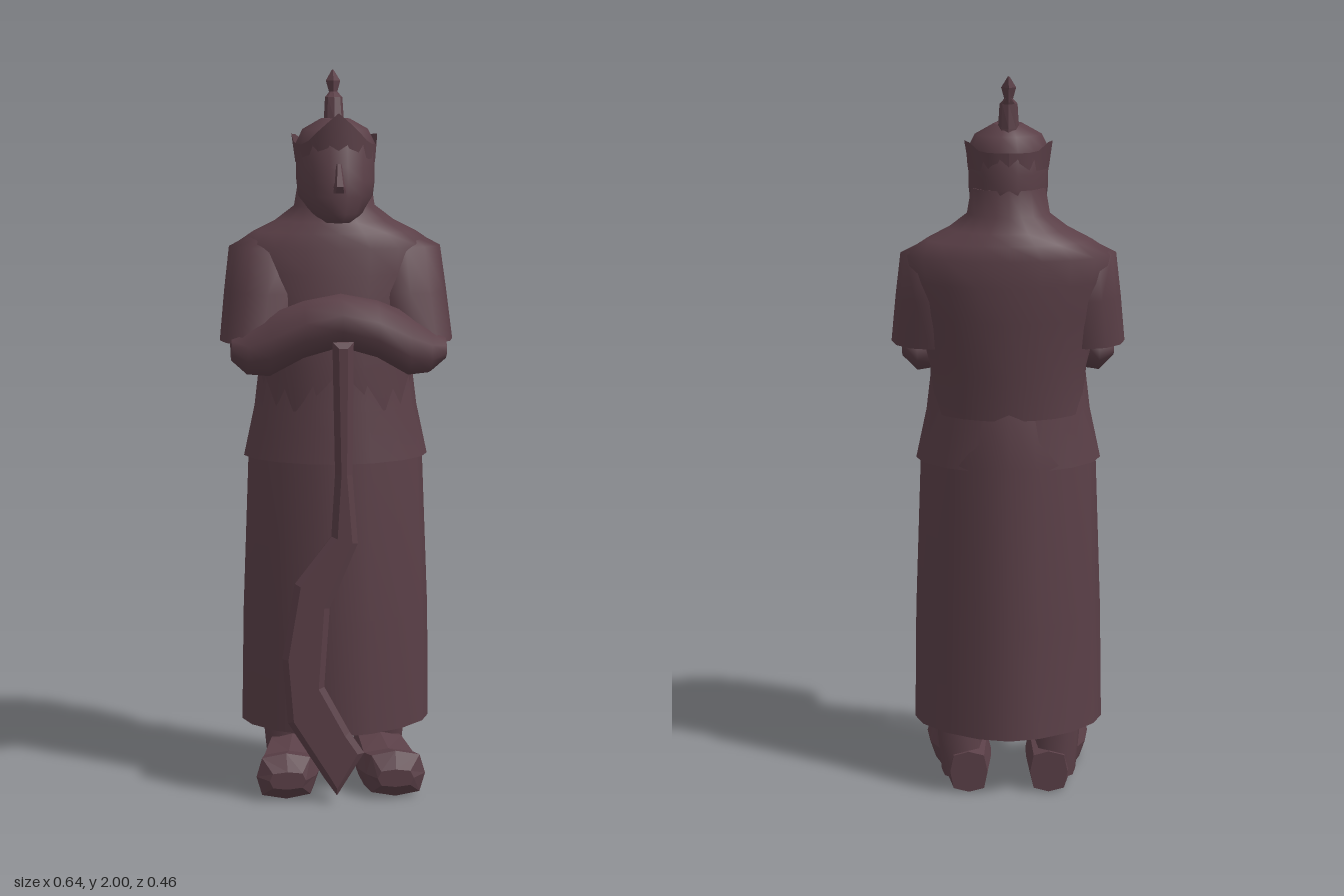
import * as THREE from 'three';

const bronze = new THREE.MeshStandardMaterial({ color: 0x5a3f47, side: THREE.DoubleSide });
bronze.name = 'dark bronze';

// Lofts rounded sections along an axis (ascending).
// Each section: [position, minA, maxA, minB, maxB]; A,B = x,z (axis y), y,z (axis x), x,y (axis z).
// Power under 1 makes the section boxier, over 1 closer to a diamond.
function loft(axis, sections, { sides = 16, power = 1, flat = false } = {}) {
  const pos = [], index = [];
  const bend = (v) => Math.sign(v) * Math.pow(Math.abs(v), power);
  const place = (p, a, b) => axis === 'y' ? [a, p, b] : axis === 'x' ? [p, a, b] : [a, b, p];
  const tri = (a, b, c) => axis === 'y' ? index.push(a, c, b) : index.push(a, b, c);
  const ring = ([p, a0, a1, b0, b1]) => {
    const start = pos.length / 3;
    for (let i = 0; i < sides; i++) {
      const t = (i / sides) * Math.PI * 2;
      pos.push(...place(p, (a0 + a1) / 2 + bend(Math.cos(t)) * (a1 - a0) / 2,
        (b0 + b1) / 2 + bend(Math.sin(t)) * (b1 - b0) / 2));
    }
    return start;
  };
  const starts = sections.map(ring);
  for (let k = 0; k + 1 < starts.length; k++) {
    for (let i = 0; i < sides; i++) {
      const j = (i + 1) % sides, s = starts[k], e = starts[k + 1];
      tri(s + i, s + j, e + j);
      tri(s + i, e + j, e + i);
    }
  }
  // separate end caps keep their edges sharp
  const low = ring(sections[0]), high = ring(sections[sections.length - 1]);
  for (let i = 1; i + 1 < sides; i++) {
    tri(low, low + i + 1, low + i);
    tri(high, high + i, high + i + 1);
  }
  let g = new THREE.BufferGeometry();
  g.setAttribute('position', new THREE.Float32BufferAttribute(pos, 3));
  g.setIndex(index);
  if (flat) g = g.toNonIndexed();
  g.computeVertexNormals();
  return g;
}

// Section centred on x = 0: height, half width, back z, front z
const mid = (y, rx, back, front) => [y, -rx, rx, back, front];

export function createModel() {
  const model = new THREE.Group();
  model.name = 'robedGuardian';
  const add = (name, geometry) => {
    const mesh = new THREE.Mesh(geometry, bronze);
    mesh.name = name;
    model.add(mesh);
    return mesh;
  };

  // Long robe skirt
  add('robeSkirt', loft('y', [
    mid(0.18, 0.265, -0.233, 0.185), mid(0.5, 0.26, -0.206, 0.18),
    mid(0.95, 0.243, -0.208, 0.166), mid(1.1, 0.21, -0.185, 0.145),
  ], { sides: 16, power: 1.2 }));

  // Tunic flaring over the hips
  add('tunicHem', loft('y', [
    mid(0.94, 0.256, -0.2, 0.172), mid(1.08, 0.226, -0.184, 0.153), mid(1.18, 0.214, -0.184, 0.146),
  ], { sides: 16, power: 1.12 }));

  // Torso and sloping shoulders
  add('torso', loft('y', [
    mid(1.08, 0.212, -0.184, 0.146), mid(1.2, 0.214, -0.192, 0.145), mid(1.35, 0.25, -0.212, 0.13),
    mid(1.45, 0.275, -0.216, 0.112), mid(1.52, 0.285, -0.216, 0.1), mid(1.56, 0.225, -0.205, 0.088),
    mid(1.59, 0.165, -0.188, 0.075), mid(1.63, 0.112, -0.163, 0.05), mid(1.7, 0.1, -0.15, 0.04),
  ], { sides: 20 }));

  // Wide short sleeves, legs and pointed shoes
  const sleeve = loft('y', [
    [1.265, 0.1, 0.322, -0.115, 0.142], [1.4, 0.08, 0.308, -0.15, 0.11],
    [1.52, 0.08, 0.293, -0.14, 0.055], [1.555, 0.1, 0.225, -0.1, 0.01],
  ], { sides: 12 });
  const leg = loft('y', [
    [0.04, 0.07, 0.19, -0.155, 0.0], [0.14, 0.075, 0.2, -0.152, 0.01], [0.3, 0.07, 0.21, -0.14, 0.02],
  ], { sides: 10, power: 0.8 });
  const shoe = loft('z', [
    [-0.155, 0.06, 0.165, 0, 0.12], [-0.06, 0.05, 0.185, 0, 0.14], [0.01, 0.05, 0.2, 0, 0.14],
    [0.09, 0.055, 0.225, 0, 0.115], [0.165, 0.07, 0.235, 0, 0.13], [0.195, 0.1, 0.2, 0.035, 0.085],
  ], { sides: 8, power: 0.6, flat: true });
  for (const side of [1, -1]) {
    const label = side > 0 ? 'left' : 'right';
    for (const [part, g] of [['Sleeve', sleeve], ['Leg', leg], ['Shoe', shoe]]) {
      add(label + part, g).scale.x = side;
    }
  }

  // Forearms meeting at the clasped hands
  const half = [
    [0.293, 1.215, 1.28, 0.0, 0.13], [0.25, 1.175, 1.31, -0.06, 0.165],
    [0.19, 1.175, 1.345, 0.0, 0.19], [0.1, 1.23, 1.385, 0.06, 0.222],
  ];
  const arms = half.map(([x, ...r]) => [-x, ...r]);
  arms.push([0, 1.26, 1.405, 0.07, 0.235], ...[...half].reverse());
  add('foldedForearms', loft('x', arms, { sides: 10 }));

  // Curved broad blade standing point down, thinning to its edges
  const blade = new THREE.Shape([
    [-0.027, 1.28], [-0.02, 0.92], [-0.03, 0.75], [-0.13, 0.62], [-0.165, 0.41], [-0.15, 0.23],
    [-0.05, 0.07], [-0.015, 0.02], [0.06, 0.14], [0.02, 0.2], [-0.05, 0.33], [-0.035, 0.55],
    [0.042, 0.73], [0.027, 0.92], [0.03, 1.28],
  ].map(([x, y]) => new THREE.Vector2(x, y)));
  add('sword', new THREE.ExtrudeGeometry(blade, {
    depth: 0.006, bevelEnabled: true, bevelThickness: 0.013, bevelSize: 0.016, bevelOffset: -0.016, bevelSegments: 1,
  })).position.z = 0.204;

  // Head with jutting chin
  add('head', loft('y', [
    mid(1.59, 0.045, -0.05, 0.095), mid(1.615, 0.075, -0.12, 0.122), mid(1.66, 0.103, -0.15, 0.115),
    mid(1.7, 0.108, -0.153, 0.118), mid(1.74, 0.108, -0.15, 0.1), mid(1.8, 0.11, -0.143, 0.088),
    mid(1.84, 0.09, -0.122, 0.065), mid(1.868, 0.04, -0.085, 0.02),
  ], { sides: 14 }));
  add('nose', loft('y', [
    mid(1.672, 0.022, 0.08, 0.126), mid(1.69, 0.018, 0.08, 0.137), mid(1.75, 0.008, 0.08, 0.102),
  ], { sides: 6, flat: true }));

  // Circlet with one front peak and two side peaks
  const count = 24, pos = [], index = [];
  for (let i = 0; i <= count; i++) {
    const t = (i / count) * Math.PI * 2;
    const front = Math.max(0, 1 - Math.abs(t - Math.PI) / 0.9);
    const sidePeak = Math.max(0, 1 - Math.abs(Math.abs(t - Math.PI) - 1.95) / 0.45);
    const top = 1.8 + 0.085 * front + 0.035 * sidePeak;
    for (const [y, r] of [[1.75, 0.98], [top, 1 + 0.13 * sidePeak]]) {
      pos.push(-Math.sin(t) * 0.112 * r, y, -0.028 - Math.cos(t) * 0.118 * r);
    }
    if (i < count) index.push(2 * i, 2 * i + 1, 2 * i + 2, 2 * i + 1, 2 * i + 3, 2 * i + 2);
  }
  const circlet = new THREE.BufferGeometry();
  circlet.setAttribute('position', new THREE.Float32BufferAttribute(pos, 3));
  circlet.setIndex(index);
  circlet.computeVertexNormals();
  add('circlet', circlet);

  // Bound topknot ending in a diamond finial
  add('topknot', loft('y', [
    mid(1.82, 0.022, -0.11, -0.035), mid(1.86, 0.028, -0.105, -0.04), mid(1.925, 0.024, -0.1, -0.06),
    mid(1.94, 0.011, -0.105, -0.082),
  ], { sides: 8, flat: true }));
  add('finial', loft('y', [
    mid(1.93, 0.009, -0.105, -0.082), mid(1.97, 0.02, -0.122, -0.08), mid(2, 0.002, -0.114, -0.11),
  ], { sides: 4, flat: true }));

  return model;
}
